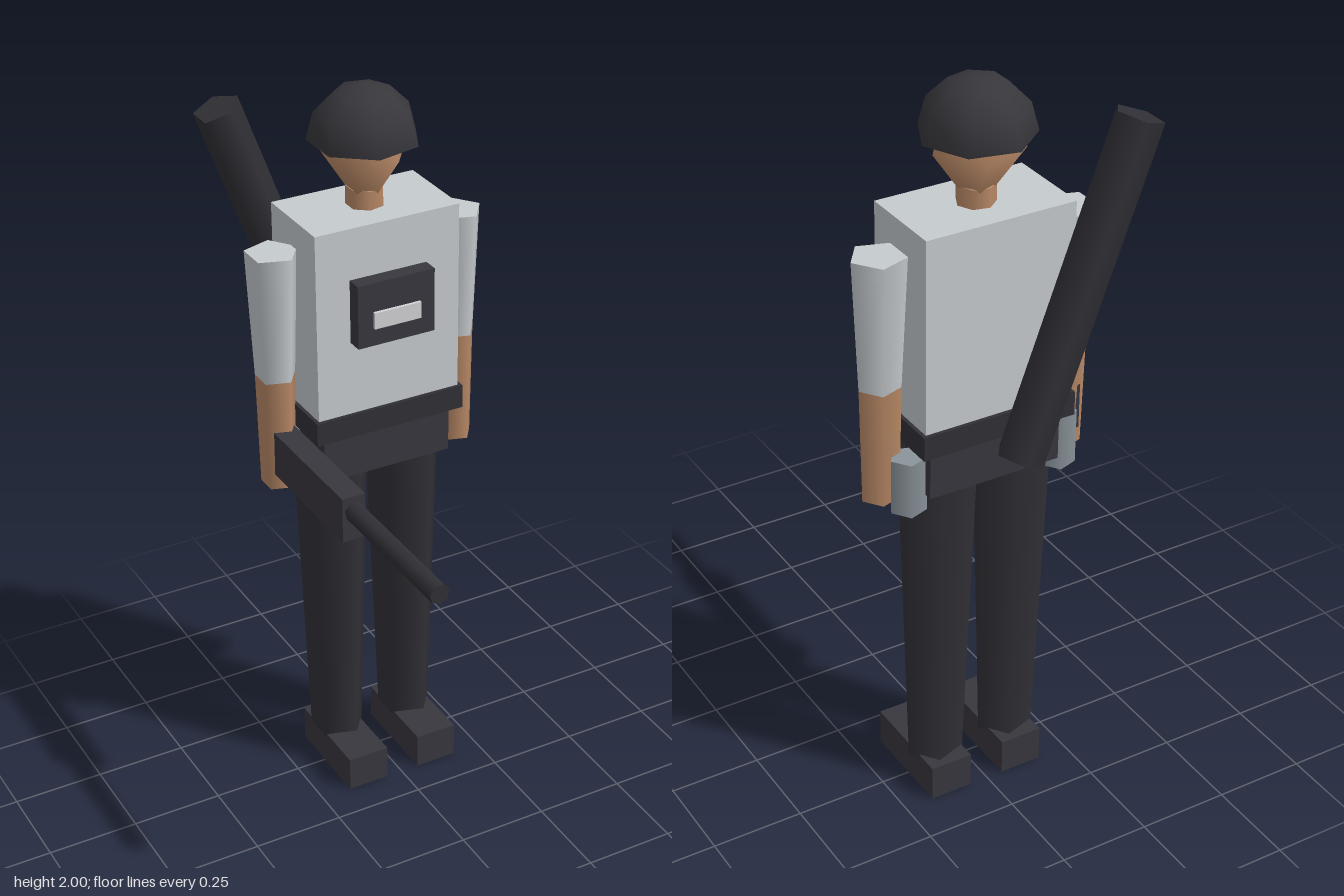
import * as THREE from 'three';

export function createModel() {
  const model = new THREE.Group();
  const cx = 0.003, cz = -0.28; // body axis

  const material = (name, color) => {
    const m = new THREE.MeshStandardMaterial({ color });
    m.name = name;
    return m;
  };
  const shirt = material('pale grey shirt', 0xc6cbce);
  const skin = material('skin', 0xb98966);
  const dark = material('charcoal gear', 0x39373f);
  const black = material('black cloth', 0x313036);
  const helmetDark = material('helmet black', 0x37373c);
  const slate = material('slate pouch', 0x8a949b);
  const plate = material('light plate', 0xd2d2d6);

  const add = (name, geometry, mat, x, y, z) => {
    const mesh = new THREE.Mesh(geometry, mat);
    mesh.name = name;
    mesh.position.set(x, y, z);
    model.add(mesh);
    return mesh;
  };
  // Box given by its limits on each axis
  const box = (name, mat, [x0, x1], [y0, y1], [z0, z1]) =>
    add(name, new THREE.BoxGeometry(x1 - x0, y1 - y0, z1 - z0), mat,
      (x0 + x1) / 2, (y0 + y1) / 2, (z0 + z1) / 2);
  // Upright tapered prism with one corner towards +x
  const prism = (name, mat, x, z, y0, y1, rBottom, rTop, sides = 5) =>
    add(name, new THREE.CylinderGeometry(rTop, rBottom, y1 - y0, sides, 1, false, Math.PI / 2),
      mat, x, (y0 + y1) / 2, z);

  // Torso, belt and hips
  box('torso', shirt, [cx - 0.205, cx + 0.205], [1.15, 1.68], [-0.4, -0.16]);
  box('belt', black, [cx - 0.215, cx + 0.215], [1.095, 1.16], [-0.41, -0.15]);
  box('hips', dark, [cx - 0.185, cx + 0.185], [0.965, 1.095], [-0.388, -0.172]);

  // Chest pack with its label plate
  box('chestPack', dark, [cx - 0.11, cx + 0.11], [1.365, 1.54], [-0.17, -0.117]);
  box('chestPlate', plate, [cx - 0.067, cx + 0.067], [1.415, 1.46], [-0.117, -0.108]);

  // Neck, head and helmet
  prism('neck', skin, cx, cz, 1.67, 1.73, 0.05, 0.05, 7);
  add('head', new THREE.SphereGeometry(0.118, 5, 2).rotateY(Math.PI).scale(1, 1.45, 1),
    skin, cx, 1.825, cz);
  add('helmet', new THREE.SphereGeometry(0.146, 7, 3, 0, Math.PI * 2, 0, Math.PI / 2).rotateY(Math.PI),
    helmetDark, cx, 1.855, cz);
  add('helmetUnderside', new THREE.CircleGeometry(0.146, 7).rotateX(Math.PI / 2),
    helmetDark, cx, 1.855, cz);

  // Limbs, shoes and hip pouches on both sides
  for (const [side, s] of [['left', 1], ['right', -1]]) {
    const arm = cx + s * 0.265, leg = cx + s * 0.108;
    prism(side + 'Sleeve', shirt, arm, cz, 1.255, 1.605, 0.055, 0.071);
    prism(side + 'Forearm', skin, arm, cz, 0.94, 1.255, 0.049, 0.055);
    prism(side + 'Leg', black, leg, cz, 0.09, 0.98, 0.076, 0.105);
    box(side + 'Shoe', dark, [leg - 0.059, leg + 0.059], [0, 0.1], [-0.375, -0.096]);
    prism(side + 'Pouch', slate, cx + s * 0.217, -0.335, 0.92, 1.07, 0.047, 0.047);
  }

  // Weapon held in the right hand
  box('weaponBody', dark, [-0.29, -0.226], [0.985, 1.11], [-0.318, 0.133]);
  add('weaponBarrel', new THREE.CylinderGeometry(0.027, 0.027, 0.44, 7).rotateX(Math.PI / 2),
    black, -0.257, 1.068, 0.34);

  // Tube slung across the back
  prism('backTube', black, -0.146, -0.498, 1.063, 1.943, 0.063, 0.063).rotation.z = 0.35;

  return model;
}
